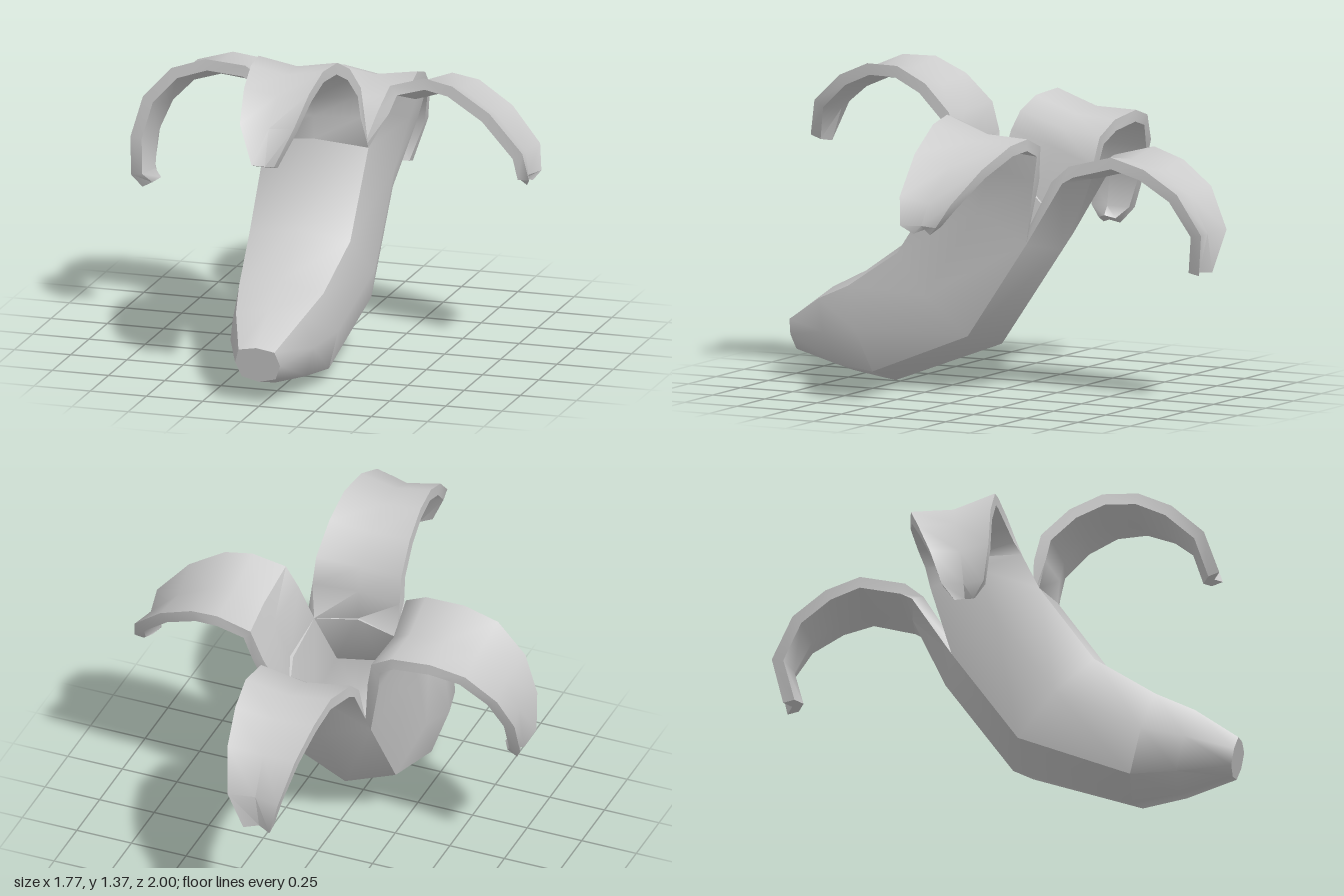
import * as THREE from 'three';
import { mergeGeometries, toCreasedNormals } from 'three/addons/utils/BufferGeometryUtils.js';

const V = (x, y, z) => new THREE.Vector3(x, y, z);
const CX = -0.012;      // slight sideways offset of the fruit
const THICK = 0.05;     // peel thickness
const SAG = 0.03;       // how far the middle of a flap bulges to its outer side

// Closed solid through equal-length loops of points, capped at both ends
function loft(loops) {
  const pos = [];
  const tri = (a, b, c) => pos.push(a, b, c);
  const n = loops[0].length;
  for (let i = 0; i < loops.length - 1; i++) {
    for (let k = 0; k < n; k++) {
      const j = (k + 1) % n, p = loops[i], q = loops[i + 1];
      tri(p[k], p[j], q[j]);
      tri(p[k], q[j], q[k]);
    }
  }
  const cap = (loop, flip) => {
    const c = loop.reduce((s, p) => s.add(p), V(0, 0, 0)).divideScalar(n);
    for (let k = 0; k < n; k++) {
      const j = (k + 1) % n;
      if (flip) tri(c, loop[j], loop[k]); else tri(c, loop[k], loop[j]);
    }
  };
  cap(loops[0], true);
  cap(loops[loops.length - 1], false);
  // turn the solid outwards if its signed volume is negative
  let vol = 0;
  for (let i = 0; i < pos.length; i += 3) vol += pos[i].dot(pos[i + 1].clone().cross(pos[i + 2]));
  if (vol < 0) for (let i = 0; i < pos.length; i += 3) [pos[i + 1], pos[i + 2]] = [pos[i + 2], pos[i + 1]];
  return new THREE.BufferGeometry().setFromPoints(pos);
}

// Eight-sided body section: [sideways, towards the upper side]
const half = [[0, 1], [0.8, 0.82], [1, 0.05], [0.75, -0.75], [0, -1]];
const section = [...half, ...half.slice(1, 4).reverse().map(([u, v]) => [-u, v])];

// Body rings: upper z, upper y, lower z, lower y, half width
const rings = [
  [1.0, 0.255, 0.96, 0.095, 0.1],
  [0.83, 0.38, 0.73, 0.03, 0.185],
  [0.67, 0.46, 0.53, 0.0, 0.235],
  [0.44, 0.62, 0.02, 0.19, 0.28],
  [0.21, 0.96, -0.27, 0.61, 0.285],
];
function bodyRing([z0, y0, z1, y1, w], inset = 0) {
  const s = 1 - inset / w;
  return section.map(([u, v]) => V(
    CX + u * w * s,
    (y0 + y1) / 2 + (v * s * (y0 - y1)) / 2,
    (z0 + z1) / 2 + (v * s * (z0 - z1)) / 2));
}
const rim = bodyRing(rings[4]);
const innerRim = bodyRing(rings[4], THICK);

// Peel flap: starts on three rim points, then follows stations
// [outward, y, first edge, second edge, drop of the second edge]
function flap(ids, place, stations) {
  const start = [...ids.map(i => rim[i]), ...ids.map(i => innerRim[i]).reverse()];
  const loops = [start];
  stations.forEach(([o, y, a, b, drop = 0], i) => {
    const p = stations[Math.max(i - 1, 0)], q = stations[Math.min(i + 1, stations.length - 1)];
    const t = new THREE.Vector2(q[0] - p[0], q[1] - p[1]).normalize();
    if (i === 0) t.set(0.1, 1).normalize();
    const at = (c, d, off) => place(o + t.y * off, y - d - t.x * off, c);
    const row = off => [at(a, 0, off), at((a + b) / 2, drop / 2, off + SAG), at(b, drop, off)];
    loops.push([...row(THICK), ...row(0).reverse()]);
  });
  return loft(loops);
}
const even = list => list.map(([o, y, w]) => [o, y, -w, w]);

export function createModel() {
  const parts = {
    // hollow body: outer skin up to the rim, then back down inside
    body: loft([...rings.map(r => bodyRing(r)),
      ...rings.slice(1).reverse().map(r => bodyRing(r, THICK))]),
    frontFlap: flap([7, 0, 1], (o, y, c) => V(CX + c, y, o), even([
      [0.14, 1.07, 0.2], [0.17, 1.19, 0.195], [0.29, 1.305, 0.185], [0.43, 1.37, 0.175],
      [0.58, 1.37, 0.16], [0.72, 1.31, 0.145], [0.855, 1.19, 0.12], [0.91, 1.03, 0.05],
    ])),
    backFlap: flap([5, 4, 3], (o, y, c) => V(CX + c, y, -o), even([
      [0.33, 0.93, 0.21], [0.41, 1.0, 0.205], [0.605, 1.05, 0.195], [0.755, 1.005, 0.18],
      [0.9, 0.905, 0.155], [0.995, 0.73, 0.115], [0.955, 0.55, 0.06],
    ])),
    leftFlap: flap([1, 2, 3], (o, y, c) => V(o, y, c), [
      [0.235, 1.07, 0.1, -0.29, 0.13], [0.28, 1.18, 0.07, -0.32, 0.09],
      [0.425, 1.22, 0.05, -0.335, 0.08], [0.55, 1.195, 0.05, -0.32, 0.07],
      [0.715, 1.09, 0.05, -0.27, 0.05], [0.86, 0.925, 0.045, -0.2, 0.02],
      [0.885, 0.805, 0.03, -0.14, 0], [0.86, 0.77, -0.02, -0.1, 0],
    ]),
    rightFlap: flap([7, 6, 5], (o, y, c) => V(-o, y, c), [
      [0.245, 1.07, 0.1, -0.29, 0.13], [0.27, 1.15, 0.07, -0.31, 0.09],
      [0.37, 1.205, 0.05, -0.33, 0.08], [0.55, 1.215, 0.04, -0.335, 0.07],
      [0.7, 1.165, 0.05, -0.31, 0.06], [0.825, 1.03, 0.05, -0.26, 0.05],
      [0.88, 0.85, 0.05, -0.2, 0.02], [0.885, 0.675, 0.03, -0.15, 0],
      [0.85, 0.61, -0.02, -0.1, 0],
    ]),
  };

  // Shared normals keep the skin smooth where flaps leave the body
  const whole = toCreasedNormals(mergeGeometries(Object.values(parts)), 0.9);
  const normals = whole.attributes.normal.array;
  const material = new THREE.MeshStandardMaterial({ color: 0xcccccc });
  const group = new THREE.Group();
  group.name = 'peeledBanana';
  let start = 0;
  for (const [name, geometry] of Object.entries(parts)) {
    const size = geometry.attributes.position.count * 3;
    geometry.setAttribute('normal', new THREE.BufferAttribute(normals.slice(start, start + size), 3));
    start += size;
    const mesh = new THREE.Mesh(geometry, material);
    mesh.name = name;
    group.add(mesh);
  }
  return group;
}
